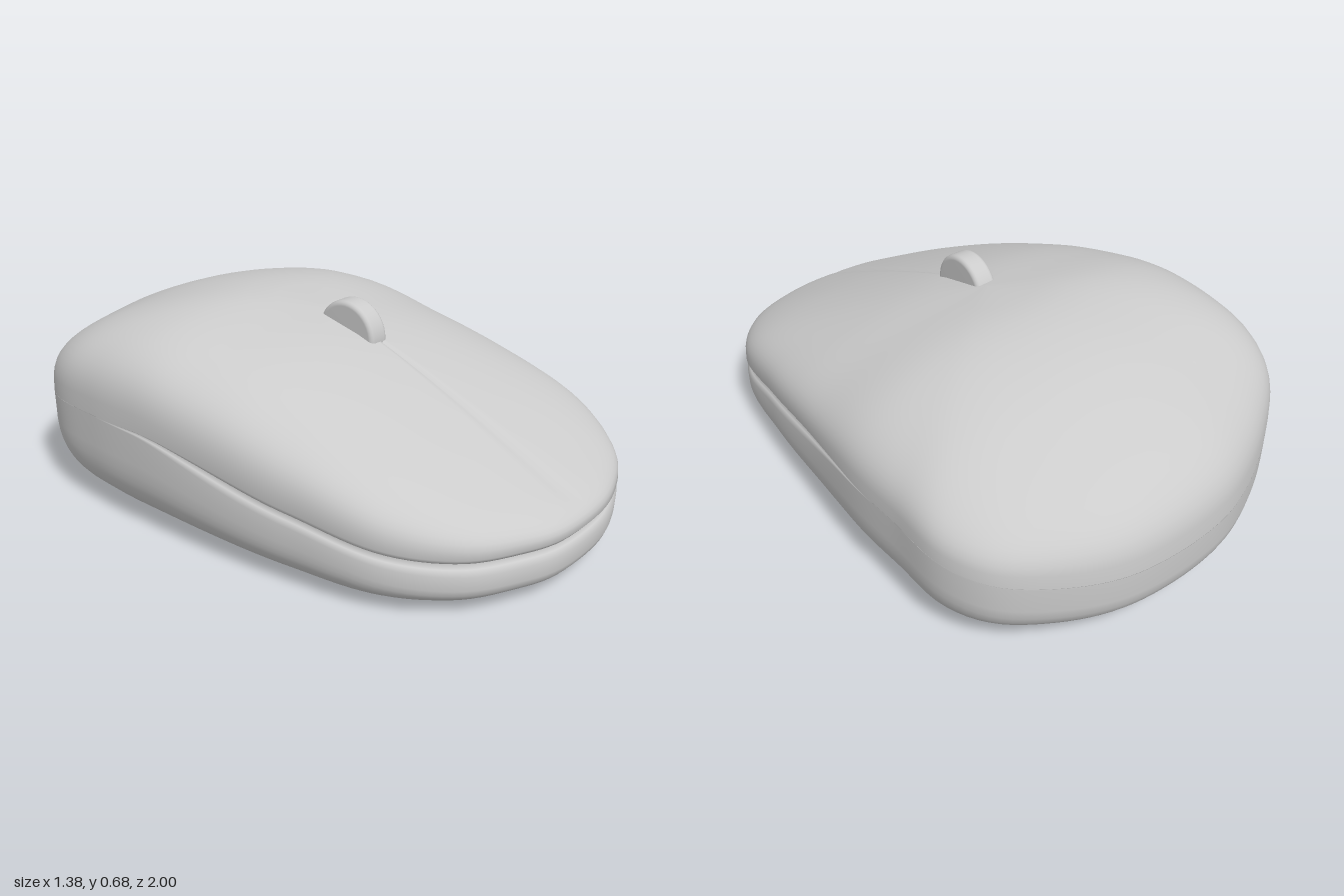
import * as THREE from 'three';

const { smoothstep, clamp } = THREE.MathUtils;
const material = new THREE.MeshStandardMaterial({ color: 0xcccccc, side: THREE.DoubleSide });

// Smooth curve through [position, value] pairs sorted by position
function curve(pts) {
  const slope = (i) => {
    const a = pts[Math.max(i - 1, 0)], b = pts[Math.min(i + 1, pts.length - 1)];
    return (b[1] - a[1]) / (b[0] - a[0]);
  };
  return (p) => {
    p = clamp(p, pts[0][0], pts[pts.length - 1][0]);
    let i = 0;
    while (i < pts.length - 2 && p > pts[i + 1][0]) i++;
    const [p0, v0] = pts[i], [p1, v1] = pts[i + 1];
    const h = p1 - p0, t = (p - p0) / h, t2 = t * t, t3 = t2 * t;
    return (2 * t3 - 3 * t2 + 1) * v0 + (t3 - 2 * t2 + t) * h * slope(i)
      + (3 * t2 - 2 * t3) * v1 + (t3 - t2) * h * slope(i + 1);
  };
}

// Plan outline (x, z)
const outline = [
  [0.69, -0.25], [0.66, 0.05], [0.62, 0.38], [0.555, 0.68], [0.41, 0.87], [0.24, 0.96], [0.1, 0.995],
  [-0.12, 0.995], [-0.24, 0.955], [-0.4, 0.865], [-0.54, 0.68], [-0.62, 0.38], [-0.67, 0.05],
  [-0.69, -0.2], [-0.69, -0.4], [-0.665, -0.59], [-0.595, -0.72], [-0.44, -0.84], [-0.27, -0.93],
  [-0.12, -0.98], [0.1, -1], [0.29, -0.98], [0.47, -0.905], [0.61, -0.8], [0.68, -0.66], [0.688, -0.45],
];
// Outline as radius by angle, wrapped at both ends
const polar = new THREE.CatmullRomCurve3(outline.map(([x, z]) => new THREE.Vector3(x, 0, z)), true)
  .getPoints(240).slice(0, 240)
  .map((p) => [(Math.atan2(p.z, p.x) + 2 * Math.PI) % (2 * Math.PI), Math.hypot(p.x, p.z)])
  .sort((a, b) => a[0] - b[0]);
const first = polar[0], last = polar[polar.length - 1];
const radiusAt = curve([[last[0] - 2 * Math.PI, last[1]], ...polar, [first[0] + 2 * Math.PI, first[1]]]);

// Back-to-front heights of the spine and of the seam between the covers
const spine = curve([[-1, 0.55], [-0.75, 0.595], [-0.5, 0.645], [-0.24, 0.662], [0, 0.622],
  [0.2, 0.575], [0.55, 0.457], [0.87, 0.343], [1, 0.3]]);
const seamLine = curve([[-1, 0.24], [-0.6, 0.29], [-0.2, 0.3], [0, 0.285], [0.4, 0.238],
  [0.68, 0.188], [0.85, 0.17], [1, 0.165]]);

// Top surface falls away toward the model's left
const topHeight = (x, z) =>
  spine(z) - 0.16 * Math.max(0, x + 0.2) ** 2 * smoothstep(-z, -0.8, 0) + 0.0064 * smoothstep(-z, -0.8, 0);

const SIDES = 192, DOME = 20, BELLY = 14, HOLE = 0.465;

// One vertical section from crown to base opening, at a given angle
function section(j) {
  const angle = (j / SIDES) * 2 * Math.PI;
  const c = Math.cos(angle), s = Math.sin(angle), R = radiusAt(angle);
  const ex = c * R, ez = s * R;
  const seam = seamLine(ez) + 0.05 * smoothstep(-ex, 0.3, 0.69) * smoothstep(-ez, -0.4, 0.2);
  const groove = smoothstep(ez, -0.38, 0.25);
  const pts = [];
  const add = (r, y) => pts.push([ex * r, y, ez * r]);

  // Domed upper cover, with a fine split line between the buttons
  const lip = seam + 0.025 * groove;
  for (let i = 0; i <= DOME; i++) {
    const t = (1 - i / DOME) * Math.PI / 2;
    const r = Math.max(Math.cos(t), 0) ** (2 / 3), d = Math.sin(t) ** (2 / 3);
    const split = j === SIDES / 4 ? 0.008 * smoothstep(r, 0.1, 0.25) * (1 - smoothstep(r, 0.9, 1)) : 0;
    add(r, lip + (topHeight(ex * r, ez * r) - lip) * d - split);
  }
  // Seam groove, fading out along the sides
  for (const [inset, dy] of [[0.012, 0.01], [0.04, 0], [0.012, -0.01]]) {
    add(1 - inset * groove, seam + dy * (0.15 + 0.85 * groove));
  }
  // Rounded lower body, ending at a square opening
  const low = seam - 0.025 * groove - 0.003;
  const edge = HOLE / Math.max(Math.abs(c), Math.abs(s)) / R;
  const end = Math.acos(edge * edge);
  for (let i = 0; i <= BELLY; i++) {
    const t = (i / BELLY) * end;
    add(Math.sqrt(Math.cos(t)), Math.max(0, low * (1 - 1.07 * Math.sqrt(Math.sin(t)))));
  }
  return pts;
}

function createBody() {
  const sections = Array.from({ length: SIDES }, (_, j) => section(j));
  const rows = sections[0].length, index = [];
  for (let j = 0; j < SIDES; j++) {
    const a = j * rows, b = ((j + 1) % SIDES) * rows;
    for (let i = 0; i < rows - 1; i++) {
      if (i > 0) index.push(a + i, b + i, a + i + 1);
      index.push(b + i, b + i + 1, a + i + 1);
    }
  }
  const geometry = new THREE.BufferGeometry();
  geometry.setAttribute('position', new THREE.Float32BufferAttribute(sections.flat(2), 3));
  geometry.setIndex(index);
  geometry.computeVertexNormals();
  return new THREE.Mesh(geometry, material);
}

// Scroll wheel: a disc with rounded edges, lying across x
function createWheel() {
  const R = 0.115, half = 0.038, bevel = 0.016;
  const profile = [new THREE.Vector2(0, -half)];
  for (const [y, from] of [[-half + bevel, -Math.PI / 2], [half - bevel, 0]]) {
    for (let i = 0; i <= 4; i++) {
      const a = from + (i / 4) * Math.PI / 2;
      profile.push(new THREE.Vector2(R - bevel + bevel * Math.cos(a), y + bevel * Math.sin(a)));
    }
  }
  profile.push(new THREE.Vector2(0, half));
  const wheel = new THREE.Mesh(new THREE.LatheGeometry(profile, 40), material);
  wheel.rotation.z = Math.PI / 2;
  wheel.position.set(-0.012, 0.566, 0.115);
  return wheel;
}

export function createModel() {
  const group = new THREE.Group();
  group.name = 'computerMouse';
  const body = createBody();
  body.name = 'bodyShell';
  const wheel = createWheel();
  wheel.name = 'scrollWheel';
  group.add(body, wheel);
  return group;
}
